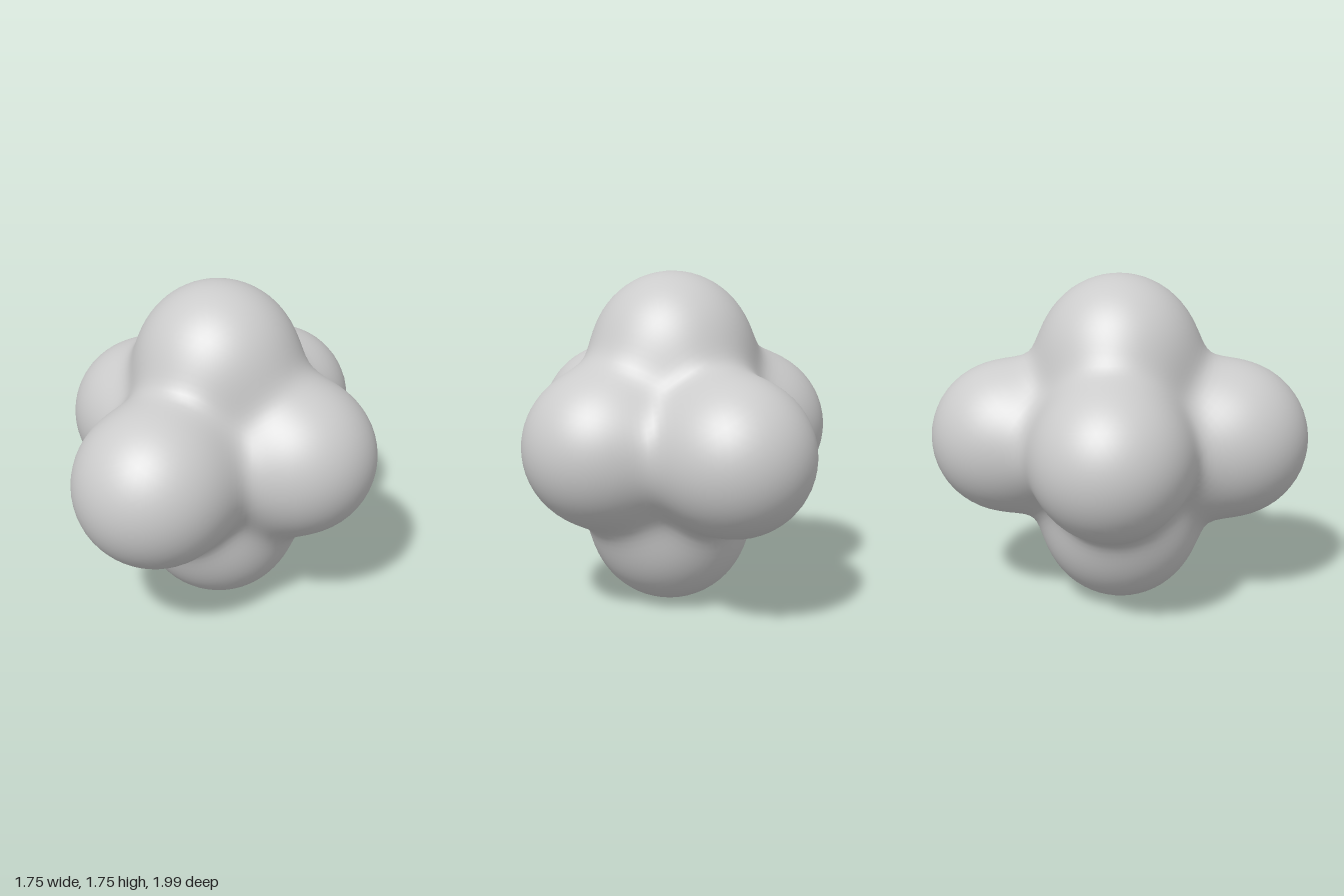
import * as THREE from 'three';
import { mergeVertices } from 'three/addons/utils/BufferGeometryUtils.js';

// Six lobes: centre x, y, z and radius
const LOBES = [
  [0.0, 1.335, -0.01, 0.42],   // top
  [0.01, 0.42, 0.0, 0.42],     // bottom
  [0.465, 0.89, -0.02, 0.405], // left
  [-0.475, 0.9, -0.09, 0.4],   // right
  [-0.05, 0.88, 0.575, 0.415], // front
  [0.06, 0.89, -0.6, 0.4],     // back
];
const CENTRE = new THREE.Vector3(0, 0.89, 0);
const BLEND = 0.085;

// Distance to the smoothly blended union of the lobes
function distance(p) {
  let sum = 0;
  for (const [x, y, z, r] of LOBES) {
    const d = Math.hypot(p.x - x, p.y - y, p.z - z) - r;
    sum += Math.exp(-d / BLEND);
  }
  return -BLEND * Math.log(sum);
}

// Walk inward along a ray from outside until the surface is met
function surfacePoint(direction) {
  const p = new THREE.Vector3();
  let t = 1.4;
  for (let i = 0; i < 80; i++) {
    p.copy(CENTRE).addScaledVector(direction, t);
    const d = distance(p);
    if (d < 1e-4) break;
    t -= d;
  }
  return p;
}

export function createModel() {
  const group = new THREE.Group();
  group.name = 'lobedBlob';

  // Shrink a subdivided sphere onto the blended lobes
  let geometry = new THREE.IcosahedronGeometry(1, 20);
  geometry.deleteAttribute('uv');
  geometry.deleteAttribute('normal');
  geometry = mergeVertices(geometry, 1e-4);
  const position = geometry.attributes.position;
  const direction = new THREE.Vector3();
  for (let i = 0; i < position.count; i++) {
    direction.fromBufferAttribute(position, i).normalize();
    const p = surfacePoint(direction);
    position.setXYZ(i, p.x, p.y, p.z);
  }
  geometry.computeVertexNormals();

  // Rest the lowest point on the ground
  geometry.computeBoundingBox();
  geometry.translate(0, -geometry.boundingBox.min.y, 0);

  const body = new THREE.Mesh(geometry, new THREE.MeshStandardMaterial({ color: 0xcccccc }));
  body.name = 'lobedBody';
  group.add(body);
  return group;
}
